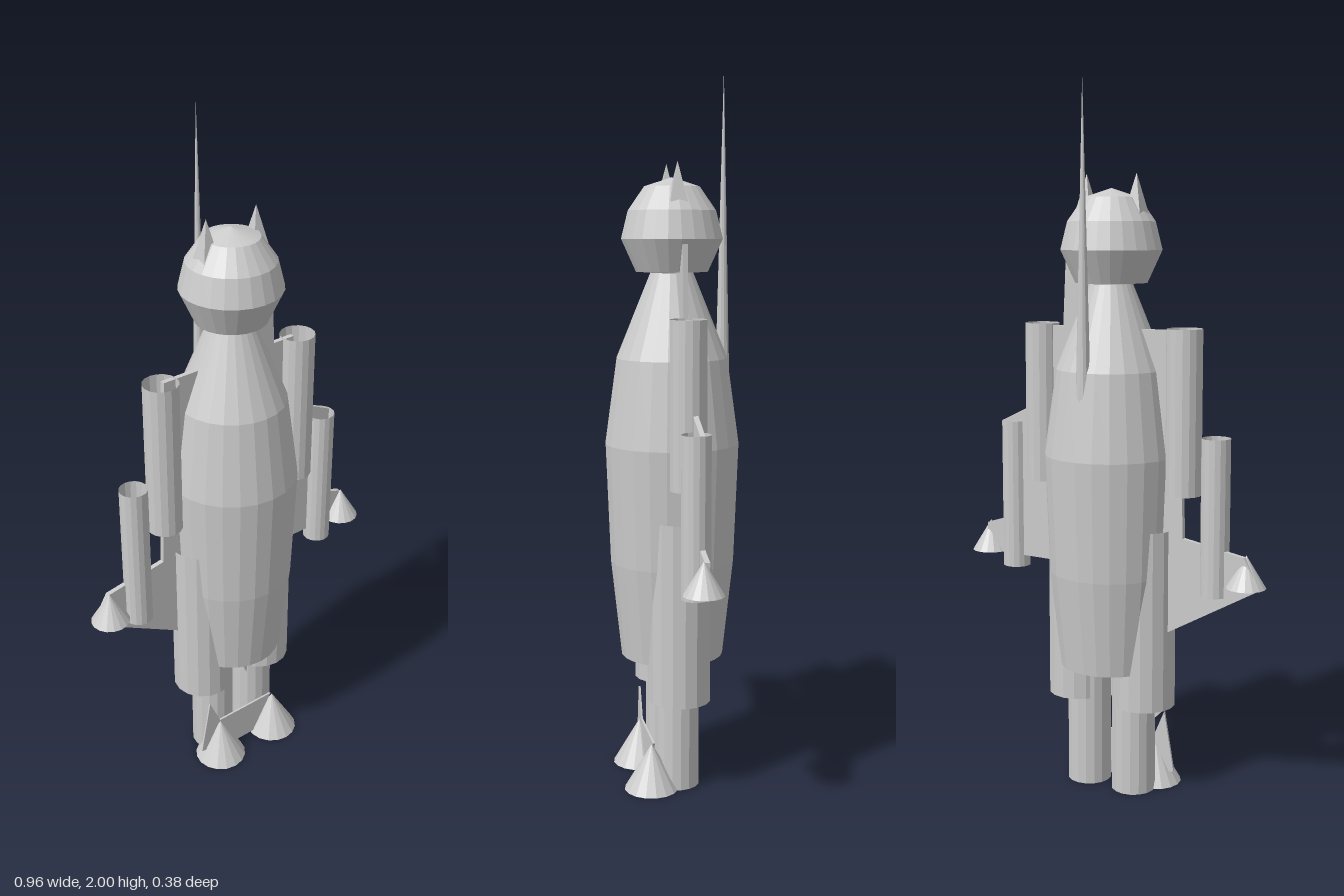
import * as THREE from 'three';

const material = new THREE.MeshStandardMaterial({
  color: 0xcccccc, flatShading: true, side: THREE.DoubleSide,
});

export function createModel() {
  const group = new THREE.Group();

  function add(name, geometry, x = 0, y = 0, z = 0) {
    const mesh = new THREE.Mesh(geometry, material);
    mesh.name = name;
    mesh.position.set(x, y, z);
    group.add(mesh);
    return mesh;
  }
  // Turned shell from [radius, y] pairs
  const turned = (name, points) =>
    add(name, new THREE.LatheGeometry(points.map(([r, y]) => new THREE.Vector2(r, y)), 24));
  // Open tube or cone between two heights
  const tube = (name, x, z, y0, y1, rBottom, rTop, sides = 16) =>
    add(name, new THREE.CylinderGeometry(rTop, rBottom, y1 - y0, sides, 1, true), x, (y0 + y1) / 2, z);
  // Thin upright sheet from [x, y] corners
  function sheet(name, z, thickness, corners) {
    const shape = new THREE.Shape(corners.map(([x, y]) => new THREE.Vector2(x, y)));
    add(name, new THREE.ExtrudeGeometry(shape, { depth: thickness, bevelEnabled: false }), 0, 0, z);
  }

  // Barrel body and helmet-like head
  turned('body', [[0.145, 0.365], [0.175, 0.64], [0.188, 0.975], [0.155, 1.215], [0.06, 1.45]]);
  turned('head', [[0.1, 1.453], [0.141, 1.543], [0.122, 1.62], [0.077, 1.685], [0, 1.71]]);

  // Paired parts
  for (const [side, s] of [['left', 1], ['right', -1]]) {
    const ear = add(side + 'Ear', new THREE.ConeGeometry(0.038, 0.12, 4, 1, true), s * 0.08, 1.69, 0);
    ear.geometry.rotateY(Math.PI / 4);
    tube(side + 'InnerTube', s * 0.232, 0, 0.88, 1.335, 0.05, 0.05);
    tube(side + 'OuterTube', s * 0.331, 0, 0.61, 1.045, 0.04, 0.04);
    tube(side + 'WingCone', s * 0.426, 0, 0.645, 0.735, 0.055, 0);
    tube(side + 'UpperLeg', s * 0.11, 0, 0.26, 0.775, 0.088, 0.088);
    tube(side + 'LowerLeg', s * 0.075, 0, 0, 0.4, 0.063, 0.063);
    tube(side + 'Foot', s * 0.102, 0.078, 0, 0.13, 0.077, 0);
  }

  // Back antenna
  tube('antenna', 0, -0.145, 1.08, 2, 0.022, 0, 12);

  // Wing plates, different on each side
  sheet('leftWing', -0.016, 0.014, [
    [0.05, 1.45], [0.14, 1.53], [0.15, 1.33], [0.22, 1.33], [0.22, 1.115],
    [0.365, 1.045], [0.35, 0.755], [0.426, 0.73], [0.426, 0.645], [0.1, 0.645]]);
  sheet('rightWing', -0.016, 0.014, [
    [-0.1, 1.33], [-0.22, 1.33], [-0.24, 0.76], [-0.426, 0.73],
    [-0.475, 0.647], [-0.2, 0.49], [-0.1, 0.44]]);

  // Webs between the feet and legs
  sheet('footWeb', 0.068, 0.006, [
    [-0.138, 0.217], [-0.1, 0.13], [0.1, 0.13], [0.03, 0.01], [-0.03, 0.01], [-0.17, 0.04]]);
  sheet('kneeWeb', 0.02, 0.006, [[-0.185, 0.265], [-0.1, 0.27], [-0.1, 0.19], [-0.138, 0.217]]);
  sheet('crotchWeb', 0.04, 0.006, [[-0.03, 0.38], [0.03, 0.38], [0.025, 0.24]]);

  return group;
}
